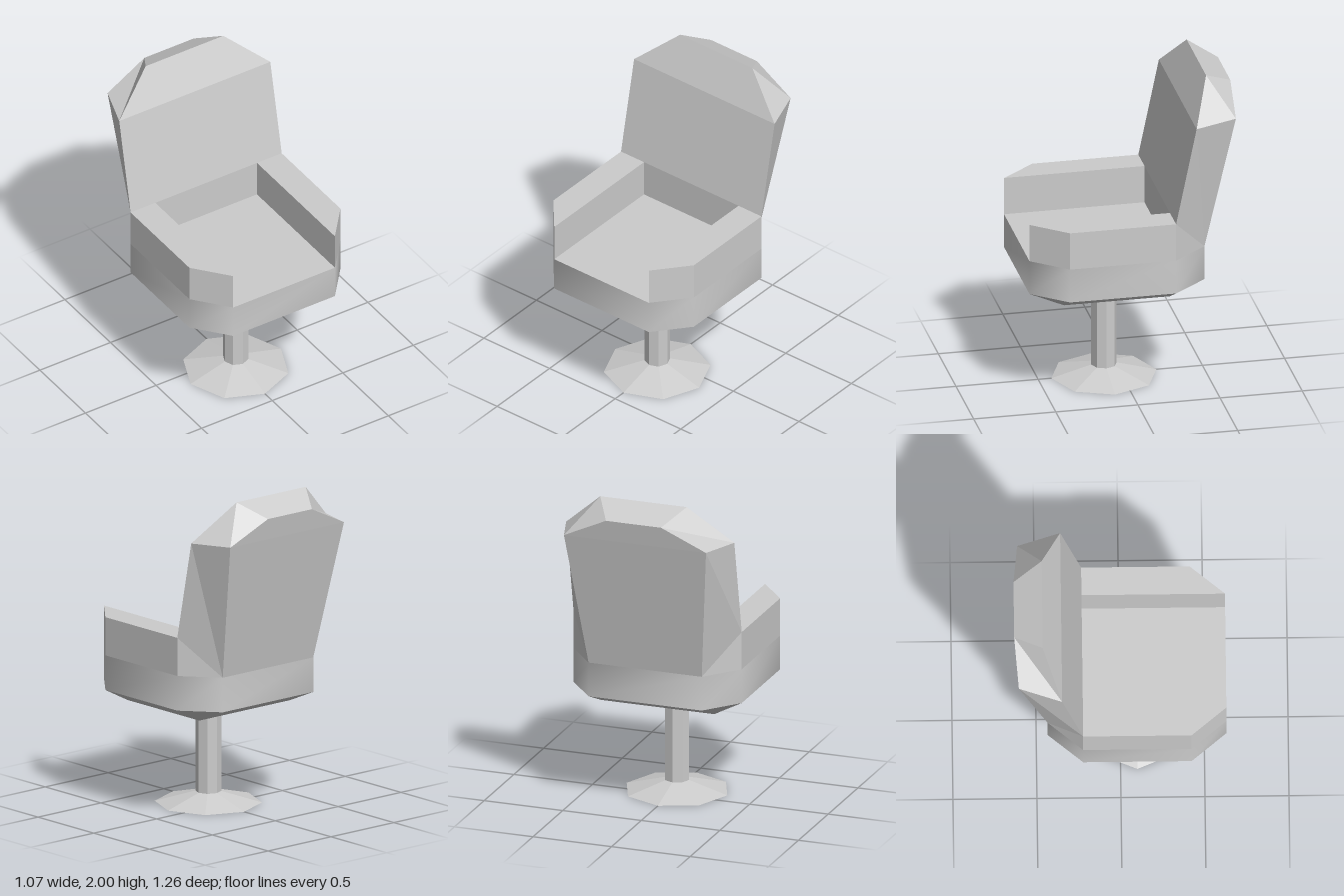
import * as THREE from 'three';
import { toCreasedNormals } from 'three/addons/utils/BufferGeometryUtils.js';

// Solid through cross-sections; each is the +x half of a ring, mirrored to -x.
function loft(halves, creaseAngle) {
  const rings = halves.map((half) => [
    ...half,
    ...half.map(([x, y, z]) => [-x, y, z]).reverse(),
  ].map((p) => new THREE.Vector3(...p)));
  const n = rings[0].length;
  const positions = [];
  const tri = (a, b, c) => {
    const area = b.clone().sub(a).cross(c.clone().sub(a)).length();
    if (area > 1e-6) positions.push(...a, ...b, ...c);
  };
  for (let k = 0; k < rings.length - 1; k++) {
    const a = rings[k], b = rings[k + 1];
    for (let i = 0; i < n; i++) {
      const j = (i + 1) % n;
      tri(a[i], a[j], b[j]);
      tri(a[i], b[j], b[i]);
    }
  }
  // caps as strips across the mirror plane
  const s = rings[0], e = rings[rings.length - 1];
  for (let i = 0; i < n / 2 - 1; i++) {
    const p = n - 2 - i, q = n - 1 - i;
    tri(e[i], e[i + 1], e[p]);
    tri(e[i], e[p], e[q]);
    tri(s[i], s[p], s[i + 1]);
    tri(s[i], s[q], s[p]);
  }
  const geometry = new THREE.BufferGeometry();
  geometry.setAttribute('position', new THREE.Float32BufferAttribute(positions, 3));
  geometry.computeVertexNormals();
  return creaseAngle ? toCreasedNormals(geometry, creaseAngle) : geometry;
}

export function createModel() {
  const group = new THREE.Group();
  const smooth = new THREE.MeshStandardMaterial({ color: 0xcccccc });
  const flat = new THREE.MeshStandardMaterial({ color: 0xcccccc, flatShading: true });
  const add = (name, geometry, material = flat) => {
    const mesh = new THREE.Mesh(geometry, material);
    mesh.name = name;
    group.add(mesh);
    return mesh;
  };

  // Seat block: chamfered corners, underside tapering to a rectangle
  const outline = [[0.36, 0.63], [0.535, 0.42], [0.535, -0.225], [0.36, -0.435]];
  const underside = [[0.36, 0.42], [0.36, 0.42], [0.36, -0.225], [0.36, -0.225]];
  const at = (points, y) => points.map(([x, z]) => [x, y, z]);
  add('seat', loft([at(underside, 0.625), at(outline, 0.717), at(outline, 0.93)], 0.95), smooth);

  // Armrests
  for (const side of [1, -1]) {
    const shape = new THREE.Shape(
      [[0.36, 0.63], [0.535, 0.42], [0.535, -0.225], [0.36, -0.225]]
        .map(([x, z]) => new THREE.Vector2(side * x, -z)));
    const arm = new THREE.ExtrudeGeometry(shape, { depth: 0.235, bevelEnabled: false });
    arm.rotateX(-Math.PI / 2);
    add(side > 0 ? 'leftArmrest' : 'rightArmrest', arm).position.y = 0.93;
  }

  // Backrest: narrower rear outline joined to the front outline
  const rear = [[0.36, 0.93, -0.435], [0.36, 0.93, -0.435], [0.452, 1.78, -0.607], [0.175, 1.913, -0.632]];
  const front = [[0.535, 0.93, -0.225], [0.535, 1.165, -0.225], [0.535, 1.77, -0.35], [0.275, 2, -0.463]];
  add('backrest', loft([rear, front]));

  // Octagonal post and foot
  add('post', new THREE.CylinderGeometry(0.077, 0.077, 0.565, 8)).position.set(0, 0.3475, 0.1);
  add('foot', new THREE.CylinderGeometry(0.077, 0.32, 0.067, 8)).position.set(0, 0.0335, 0.1);

  return group;
}
